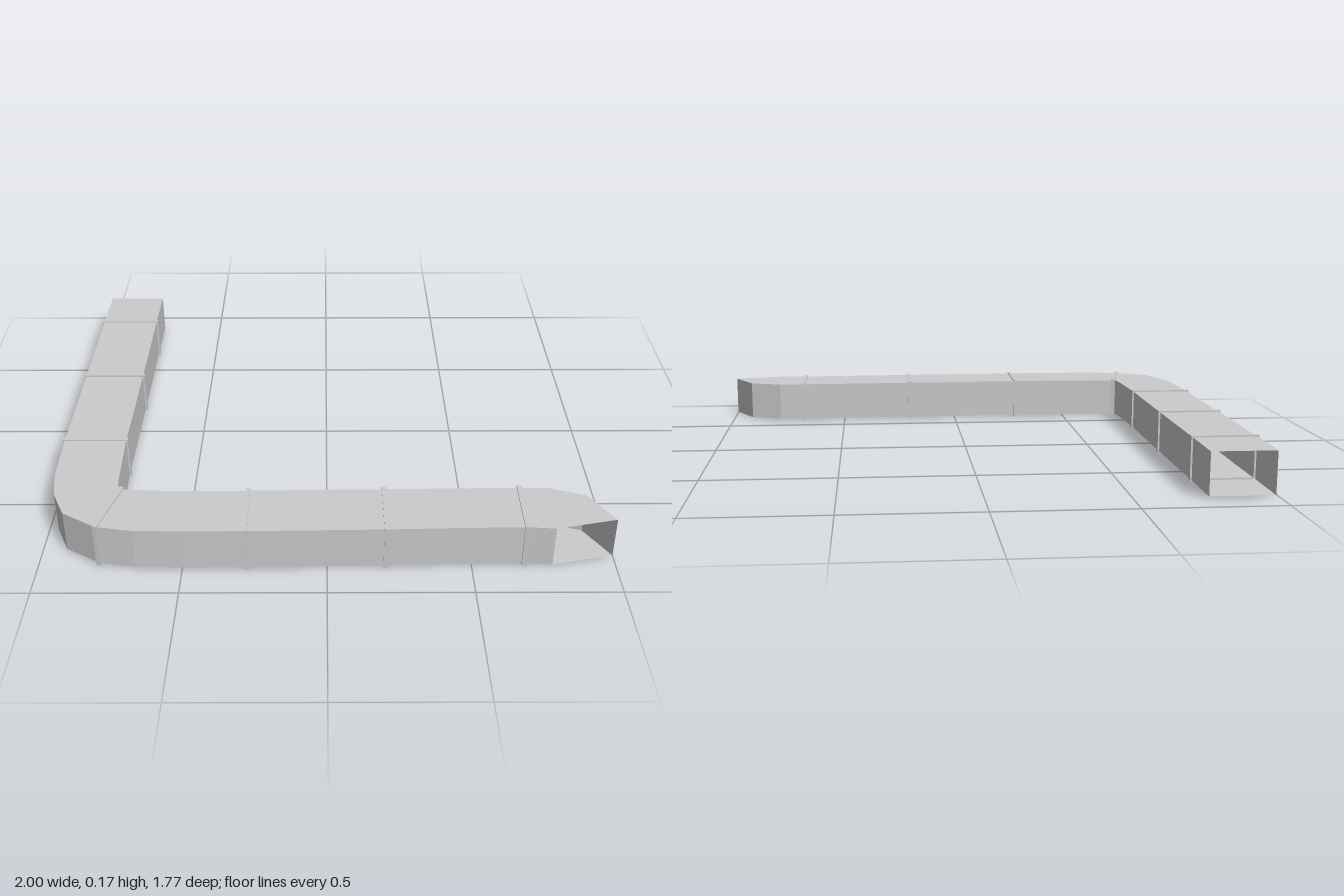
import * as THREE from 'three';

const LOW = 0.006, HIGH = 0.162; // duct floor and ceiling
const LIP = 0.007, BAND = 0.016; // collar overhang and width

// Stations along the duct: [outer wall x, z, inner wall x, z, has collar]
const stations = [
  [-0.989, -0.887, -0.757, -0.887],
  [-0.99, -0.652, -0.758, -0.652, 1],
  [-0.99, -0.41, -0.757, -0.41],
  [-0.991, -0.172, -0.757, -0.172, 1],
  [-0.99, 0.08, -0.757, 0.08],
  [-0.991, 0.31, -0.758, 0.31, 1],
  [-0.985, 0.54, -0.75, 0.55],
  [-0.965, 0.66, -0.746, 0.605],
  [-0.915, 0.77, -0.741, 0.622],
  [-0.79, 0.848, -0.732, 0.628, 1],
  [-0.66, 0.87, -0.6, 0.638],
  [-0.5, 0.873, -0.48, 0.64],
  [-0.28, 0.872, -0.28, 0.639, 1],
  [-0.02, 0.868, -0.02, 0.634],
  [0.203, 0.864, 0.203, 0.631, 1],
  [0.45, 0.857, 0.45, 0.627],
  [0.682, 0.853, 0.684, 0.623, 1],
  [0.78, 0.861, 0.787, 0.625],
  [0.78, 0.861, 0.917, 0.67],
  [0.78, 0.861, 0.998, 0.812],
];

const material = new THREE.MeshStandardMaterial({
  color: 0xcccccc, flatShading: true, side: THREE.DoubleSide,
});

// Thin-walled rectangular tube, open at both ends
function ductGeometry() {
  const loops = stations.map(([ax, az, bx, bz]) => [
    [ax, LOW, az], [ax, HIGH, az], [bx, HIGH, bz], [bx, LOW, bz],
  ]);
  const positions = [];
  for (let i = 0; i < loops.length - 1; i++) {
    for (let k = 0; k < 4; k++) {
      const n = (k + 1) % 4;
      const a = loops[i][k], b = loops[i + 1][k], c = loops[i + 1][n], d = loops[i][n];
      positions.push(...a, ...b, ...c, ...a, ...c, ...d);
    }
  }
  const geometry = new THREE.BufferGeometry();
  geometry.setAttribute('position', new THREE.Float32BufferAttribute(positions, 3));
  geometry.computeVertexNormals();
  return geometry;
}

function rectangle(path, w, h) {
  path.moveTo(-w, -h);
  path.lineTo(w, -h);
  path.lineTo(w, h);
  path.lineTo(-w, h);
  path.closePath();
  return path;
}

// Rectangular frame that wraps the duct wall at a joint
function collar([ax, az, bx, bz]) {
  const w = Math.hypot(bx - ax, bz - az) / 2, h = (HIGH - LOW) / 2;
  const shape = rectangle(new THREE.Shape(), w + LIP, h + LIP - 0.001);
  shape.holes.push(rectangle(new THREE.Path(), w - LIP, h - LIP));
  const geometry = new THREE.ExtrudeGeometry(shape, { depth: BAND, bevelEnabled: false });
  geometry.translate(0, 0, -BAND / 2);
  const mesh = new THREE.Mesh(geometry, material);
  mesh.position.set((ax + bx) / 2, (LOW + HIGH) / 2, (az + bz) / 2);
  mesh.rotation.y = Math.atan2(az - bz, bx - ax);
  return mesh;
}

export function createModel() {
  const model = new THREE.Group();
  model.name = 'ventDuct';

  const duct = new THREE.Mesh(ductGeometry(), material);
  duct.name = 'ductWalls';
  model.add(duct);

  // Joint collars
  stations.filter((s) => s[4]).forEach((s, i) => {
    const mesh = collar(s);
    mesh.name = `jointCollar${i + 1}`;
    model.add(mesh);
  });
  return model;
}
